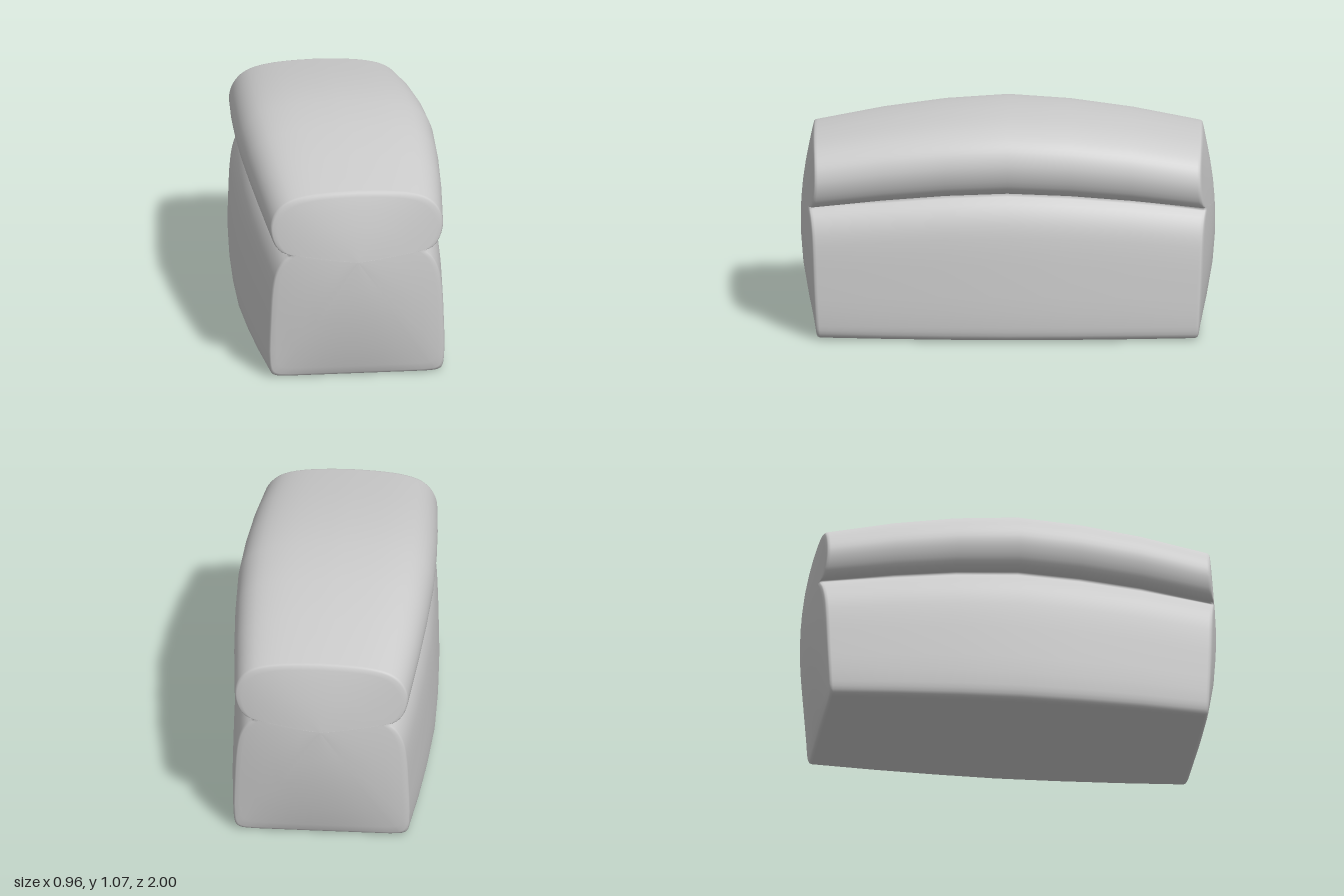
import * as THREE from 'three';

// Right half of the end slice: straight-sided base, then the overhanging crown
const BASE = [[0, 0], [0.2, 0], [0.38, 0.003], [0.412, 0.018], [0.425, 0.07], [0.423, 0.28],
  [0.412, 0.46], [0.395, 0.54], [0.365, 0.6], [0.325, 0.64]];
const CROWN = [[0.325, 0.64], [0.368, 0.65], [0.402, 0.69], [0.42, 0.76], [0.407, 0.825],
  [0.375, 0.873], [0.325, 0.907], [0.24, 0.93], [0.12, 0.942], [0, 0.946]];
const CENTRE_Y = 0.6;

function sample(points, n) {
  const curve = new THREE.CatmullRomCurve3(points.map(([x, y]) => new THREE.Vector3(x, y, 0)), false, 'centripetal');
  return curve.getPoints(n).map(p => [p.x, Math.max(0, p.y)]);
}

// Closed outline, anticlockwise seen from the front
function sliceOutline() {
  const right = [...sample(BASE, 27), ...sample(CROWN, 27).slice(1)];
  const left = right.slice(1, -1).reverse().map(([x, y]) => [-x, y]);
  return [...right, ...left];
}

// Gentle bulge of the end faces
function domeZ(x, y) {
  const u = x / 0.43, v = (y - 0.5) / 0.5;
  return 0.92 + 0.08 * (1 - 0.82 * u * u) * (1 - v * v);
}

function loafGeometry() {
  const outline = sliceOutline();
  const rings = [];

  // End face rings from the middle out to the softened rim
  const capRing = (s, drop, side) => outline.map(([x, y]) => {
    const px = x * s, py = CENTRE_Y + (y - CENTRE_Y) * s;
    return [px, py, side * (domeZ(px, py) - drop)];
  });
  const caps = [[0, 0], [0.25, 0], [0.5, 0], [0.75, 0], [0.92, 0], [0.975, 0.001], [0.992, 0.006], [1, 0.017]];
  caps.forEach(([s, drop]) => rings.push(capRing(s, drop, -1)));

  // Slices along the length swell towards the middle
  const slices = [[-0.6, 1.063], [-0.3, 1.105], [0, 1.126], [0.3, 1.105], [0.6, 1.063]];
  slices.forEach(([z, s]) => rings.push(outline.map(([x, y]) => [x * s, y * s, z])));
  caps.slice().reverse().forEach(([s, drop]) => rings.push(capRing(s, drop, 1)));

  const n = outline.length, index = [];
  for (let i = 0; i < rings.length - 1; i++) {
    for (let j = 0; j < n; j++) {
      const k = (j + 1) % n;
      const a = i * n + j, b = i * n + k, c = b + n, d = a + n;
      index.push(a, b, c, a, c, d);
    }
  }
  const geometry = new THREE.BufferGeometry();
  geometry.setAttribute('position', new THREE.Float32BufferAttribute(rings.flat(2), 3));
  geometry.setIndex(index);
  geometry.computeVertexNormals();
  return geometry;
}

export function createModel() {
  const group = new THREE.Group();
  group.name = 'breadLoaf';
  const loaf = new THREE.Mesh(loafGeometry(), new THREE.MeshStandardMaterial({ color: 0xcccccc }));
  loaf.name = 'loaf';
  group.add(loaf);
  return group;
}
